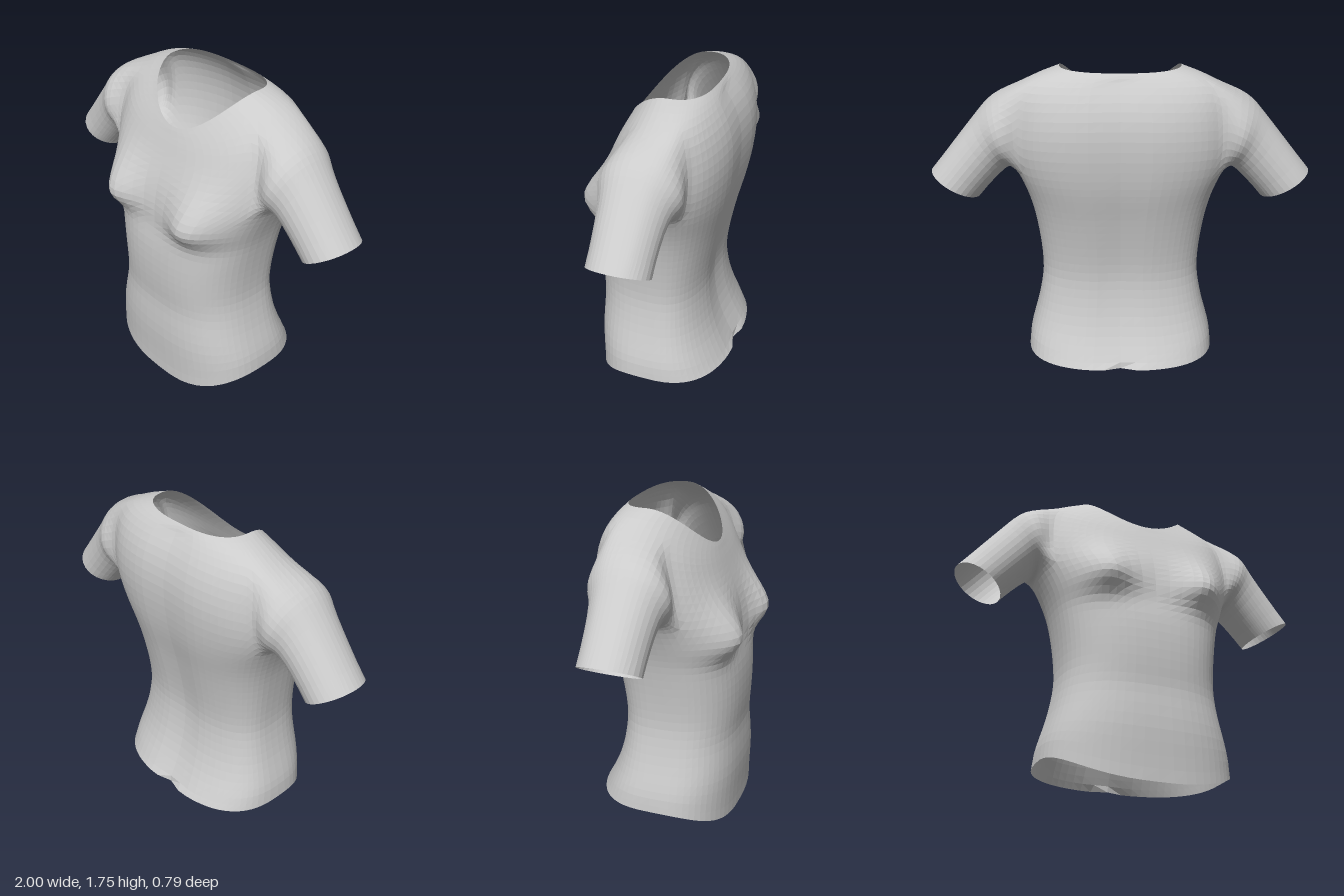
import * as THREE from 'three';

const COLS = 64, SUB = 2; // columns round the body, rows per listed section

// Body sections from hem to neckline:
// [front y, side y, back y, half width, front z, side z, back z]
const SECTIONS = [
  [0, 0.14, 0.135, 0.515, 0.34, -0.02, -0.4],
  [0.13, 0.22, 0.2, 0.513, 0.345, -0.02, -0.365],
  [0.27, 0.3, 0.29, 0.49, 0.355, -0.02, -0.32],
  [0.4, 0.4, 0.4, 0.46, 0.35, -0.02, -0.285],
  [0.5, 0.5, 0.5, 0.44, 0.34, -0.02, -0.268],
  [0.6, 0.6, 0.6, 0.425, 0.352, -0.02, -0.258],
  [0.7, 0.7, 0.7, 0.43, 0.357, -0.02, -0.267],
  [0.8, 0.8, 0.8, 0.44, 0.357, -0.02, -0.283],
  [0.9, 0.9, 0.9, 0.455, 0.35, -0.02, -0.303],
  [0.98, 0.98, 0.98, 0.47, 0.33, -0.03, -0.32],
  [1.05, 1.05, 1.05, 0.49, 0.32, -0.03, -0.338],
  [1.12, 1.12, 1.12, 0.515, 0.31, -0.04, -0.355],
  [1.2, 1.2, 1.2, 0.55, 0.3, -0.05, -0.37],
  [1.27, 1.3, 1.31, 0.57, 0.285, -0.08, -0.383],
  [1.34, 1.4, 1.42, 0.57, 0.262, -0.09, -0.387],
  [1.4, 1.49, 1.52, 0.56, 0.24, -0.1, -0.375],
  [1.45, 1.59, 1.61, 0.55, 0.222, -0.11, -0.345],
  [1.485, 1.67, 1.68, 0.5, 0.207, -0.12, -0.3],
  [1.505, 1.72, 1.715, 0.4, 0.2, -0.11, -0.27],
  [1.525, 1.745, 1.735, 0.31, 0.19, -0.09, -0.25],
];
const ROWS = (SECTIONS.length - 1) * SUB;

// Armhole: rows and half span in columns
const HOLE_LOW = 12 * SUB, HOLE_HIGH = 17 * SUB, HOLE_SPAN = 5;

// Sleeve sections: [centre x, y, z, half axis x, half axis y, z radius]
const SLEEVE = [
  [0.615, 1.395, -0.065, 0.05, 0.19, 0.22],
  [0.68, 1.335, -0.06, 0.085, 0.14, 0.18],
  [0.875, 1.108, -0.06, 0.125, 0.0725, 0.16],
];
const SLEEVE_STEPS = 12;

const spow = (v, e) => Math.sign(v) * Math.abs(v) ** e;

function bodyPoint(row, col) {
  const u = row / SUB, i = Math.min(Math.floor(u), SECTIONS.length - 2);
  const [yf, ys, yb, w, zf, zs, zb] =
    SECTIONS[i].map((v, k) => THREE.MathUtils.lerp(v, SECTIONS[i + 1][k], u - i));
  const a = (col / COLS) * Math.PI * 2, s = Math.sin(a), c = Math.cos(a);
  const front = c > 0;
  const e = 0.75 + (front ? 0.25 * THREE.MathUtils.smoothstep(u, 14, 19) : 0);
  const x = w * spow(s, e);
  const y = ys + ((front ? yf : yb) - ys) * c * c;
  let z = zs + ((front ? zf : zb) - zs) * Math.abs(c) ** e;
  if (front) {
    // chest fullness, steeper underneath
    const dx = (Math.abs(x) - 0.285) / 0.14;
    const dy = (y - 1.09) / (y > 1.09 ? 0.17 : 0.085);
    z += 0.135 * Math.exp(-dx * dx - dy * dy);
  } else if (u < 18) {
    // groove along the spine
    z += 0.03 * Math.exp(-((x / 0.06) ** 2));
  }
  return new THREE.Vector3(x, y, z);
}

// Even out the surface while keeping the open edges in place
function relax(points, index, rounds) {
  const near = points.map(() => new Map());
  const link = (a, b) => near[a].set(b, (near[a].get(b) || 0) + 1);
  for (let t = 0; t < index.length; t += 3) {
    for (let k = 0; k < 3; k++) {
      const a = index[t + k], b = index[t + ((k + 1) % 3)];
      link(a, b);
      link(b, a);
    }
  }
  for (let r = 0; r < rounds; r++) {
    const old = points.map((p) => p.clone());
    near.forEach((m, i) => {
      if (!m.size || [...m.values()].some((n) => n === 1)) return;
      const mean = new THREE.Vector3();
      for (const k of m.keys()) mean.add(old[k]);
      points[i].lerp(mean.divideScalar(m.size), 0.5);
    });
  }
}

export function createModel() {
  const points = [], index = [];
  const id = (row, col) => row * COLS + (col % COLS);
  const quad = (a, b, c, d) => index.push(a, b, c, a, c, d);

  // Body, leaving out the two armholes
  for (let r = 0; r <= ROWS; r++)
    for (let c = 0; c < COLS; c++) points.push(bodyPoint(r, c));
  const sides = [COLS / 4, (COLS * 3) / 4];
  const inHole = (r, c) => r >= HOLE_LOW && r < HOLE_HIGH &&
    sides.some((m) => c >= m - HOLE_SPAN && c < m + HOLE_SPAN);
  for (let r = 0; r < ROWS; r++)
    for (let c = 0; c < COLS; c++)
      if (!inHole(r, c)) quad(id(r, c), id(r, c + 1), id(r + 1, c + 1), id(r + 1, c));

  // Sleeves, drawn out from the edge of each armhole to the cuff
  sides.forEach((mid, n) => {
    const sign = n === 0 ? 1 : -1;
    const lo = mid - HOLE_SPAN, hi = mid + HOLE_SPAN;
    let loop = [];
    for (let c = lo; c < hi; c++) loop.push(id(HOLE_LOW, c));
    for (let r = HOLE_LOW; r < HOLE_HIGH; r++) loop.push(id(r, hi));
    for (let c = hi; c > lo; c--) loop.push(id(HOLE_HIGH, c));
    for (let r = HOLE_HIGH; r > HOLE_LOW; r--) loop.push(id(r, lo));

    const curves = loop.map((i) => {
      const p = points[i];
      const a = Math.atan2((p.z + 0.07) / 0.2, (p.y - 1.43) / 0.235);
      const path = SLEEVE.map(([x, y, z, ax, ay, rz]) => new THREE.Vector3(
        sign * (x + ax * Math.cos(a)), y + ay * Math.cos(a), z + rz * Math.sin(a)));
      return new THREE.CatmullRomCurve3([p.clone(), ...path]);
    });
    for (let k = 1; k <= SLEEVE_STEPS; k++) {
      const next = curves.map((curve) => points.push(curve.getPoint(k / SLEEVE_STEPS)) - 1);
      loop.forEach((a, j) => {
        const j2 = (j + 1) % loop.length;
        quad(a, loop[j2], next[j2], next[j]);
      });
      loop = next;
    }
  });

  relax(points, index, 3);

  const geometry = new THREE.BufferGeometry().setFromPoints(points);
  geometry.setIndex(index);
  geometry.computeVertexNormals();
  const shirt = new THREE.Mesh(geometry, new THREE.MeshStandardMaterial({
    color: 0xcccccc, flatShading: true, side: THREE.DoubleSide,
  }));
  shirt.name = 'shirt';

  const model = new THREE.Group();
  model.name = 'shortSleevedTop';
  model.add(shirt);
  return model;
}
